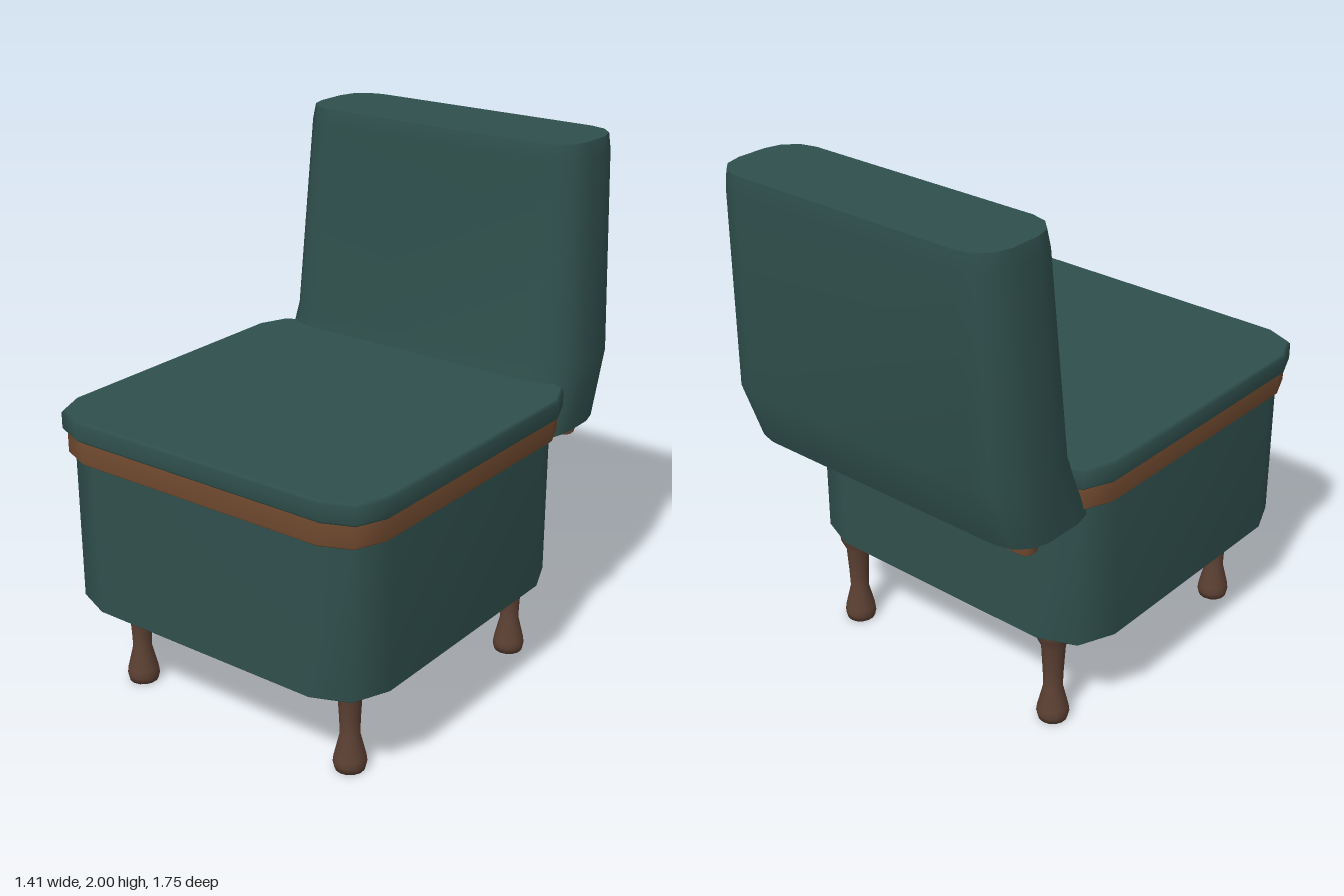
import * as THREE from 'three';

const fabric = new THREE.MeshStandardMaterial({ color: 0x2f4f4c });
const railWood = new THREE.MeshStandardMaterial({ color: 0x70492f });
const legWood = new THREE.MeshStandardMaterial({ color: 0x5c4033 });

// Horizontal rounded rectangle: half width w, from z0 (back) to z1 (front), corner radius r
function outline({ y, w, z0, z1, r }, seg) {
  const points = [];
  const corners = [[w - r, z1 - r], [w - r, z0 + r], [-w + r, z0 + r], [-w + r, z1 - r]];
  corners.forEach(([cx, cz], i) => {
    for (let k = 0; k <= seg; k++) {
      const a = (i + k / seg) * Math.PI / 2;
      points.push([cx + r * Math.sin(a), y, cz + r * Math.cos(a)]);
    }
  });
  return points;
}

// Smooth-sided solid through a stack of outlines, closed with flat caps
function loft(rings, seg) {
  const loops = rings.map((ring) => outline(ring, seg));
  const n = loops[0].length;
  const position = loops.flat(2);
  const index = [];
  for (let j = 0; j < loops.length - 1; j++) {
    for (let i = 0; i < n; i++) {
      const a = j * n + i, b = j * n + (i + 1) % n;
      index.push(a, b, b + n, a, b + n, a + n);
    }
  }
  [loops[0], loops[loops.length - 1]].forEach((loop, top) => {
    const start = position.length / 3;
    position.push(...loop.flat());
    for (let i = 1; i < n - 1; i++) {
      index.push(start, start + (top ? i : i + 1), start + (top ? i + 1 : i));
    }
  });
  const geometry = new THREE.BufferGeometry();
  geometry.setAttribute('position', new THREE.Float32BufferAttribute(position, 3));
  geometry.setIndex(index);
  geometry.computeVertexNormals();
  return geometry;
}

// Upright slab with small bevels along its top and bottom edges
function slab(y0, y1, w, z0, z1, r, b, seg = 2) {
  const ring = (y, d) => ({ y, w: w - d, z0: z0 + d, z1: z1 - d, r: r - d });
  return loft([ring(y0, b), ring(y0 + b, 0), ring(y1 - b, 0), ring(y1, b)], seg);
}

export function createModel() {
  const group = new THREE.Group();
  const add = (name, geometry, material) => {
    const mesh = new THREE.Mesh(geometry, material);
    mesh.name = name;
    group.add(mesh);
    return mesh;
  };

  // Seat: upholstered base, wooden rail and top cushion
  add('seatBase', slab(0.38, 0.96, 0.68, -0.47, 0.86, 0.2, 0.005), fabric);
  add('seatRail', slab(0.957, 1.05, 0.69, -0.48, 0.865, 0.165, 0.007), railWood);
  add('seatCushion', slab(1.045, 1.125, 0.705, -0.49, 0.875, 0.165, 0.01), fabric);

  // Backrest: leaning, tapered cushion with a slanted foot
  add('backrest', loft([
    { y: 0.935, w: 0.66, z0: -0.75, z1: -0.34, r: 0.13 },
    { y: 1.18, w: 0.662, z0: -0.845, z1: -0.435, r: 0.15 },
    { y: 1.94, w: 0.617, z0: -0.87, z1: -0.484, r: 0.14 },
    { y: 2, w: 0.605, z0: -0.863, z1: -0.498, r: 0.125 },
  ], 3), fabric);
  add('backrestRail', slab(0.865, 0.95, 0.6, -0.665, -0.59, 0.03, 0.006), railWood);

  // Four turned legs
  const profile = [
    [0, 0], [0.055, 0], [0.061, 0.025], [0.058, 0.05], [0.036, 0.14],
    [0.038, 0.2], [0.045, 0.32], [0.066, 0.365], [0.068, 0.385],
  ].map(([x, y]) => new THREE.Vector2(x, y));
  const legGeometry = new THREE.LatheGeometry(profile, 14);
  for (const [end, z] of [['front', 0.645], ['back', -0.39]]) {
    for (const [side, x] of [['Left', 0.495], ['Right', -0.495]]) {
      add(`${end}${side}Leg`, legGeometry, legWood).position.set(x, 0, z);
    }
  }
  return group;
}
